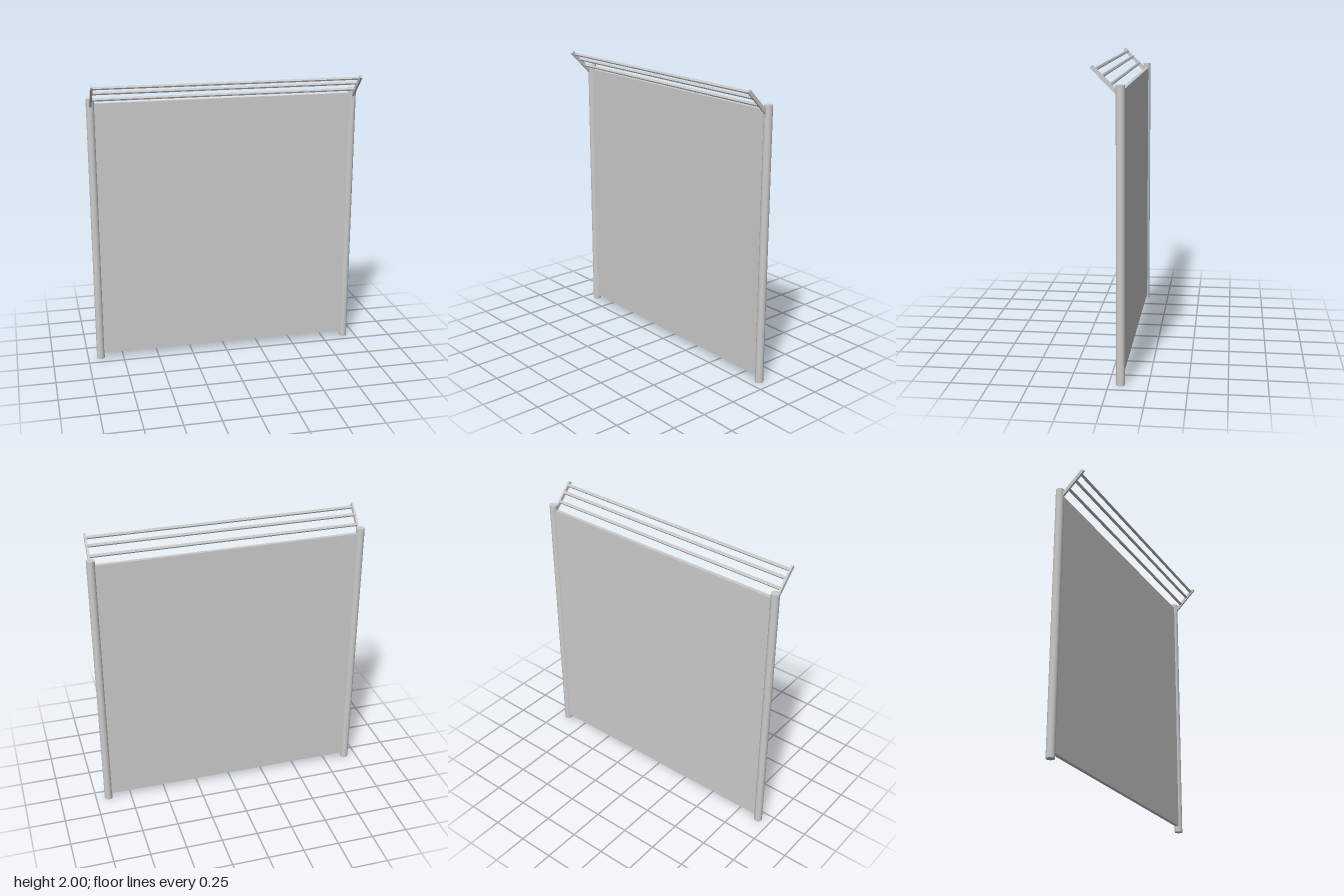
import * as THREE from 'three';

export function createModel() {
  const model = new THREE.Group();
  const smooth = new THREE.MeshStandardMaterial({ color: 0xcccccc });
  const flat = new THREE.MeshStandardMaterial({ color: 0xcccccc, flatShading: true });

  const add = (name, geometry, material, x, y, z) => {
    const mesh = new THREE.Mesh(geometry, material);
    mesh.name = name;
    mesh.position.set(x, y, z);
    model.add(mesh);
    return mesh;
  };

  const postX = 0.912, postZ = -0.075, postHeight = 1.885;

  // Fence panel between the posts
  add('panel', new THREE.BoxGeometry(postX * 2, 1.81, 0.025), flat, 0, 0.945, postZ);

  for (const side of [-1, 1]) {
    const label = side > 0 ? 'left' : 'right';
    // Round post
    add(label + 'Post', new THREE.CylinderGeometry(0.028, 0.028, postHeight, 24),
      smooth, side * postX, postHeight / 2, postZ);
    // Arm leaning forward from the post top
    const arm = add(label + 'Arm', new THREE.BoxGeometry(0.014, 0.222, 0.024),
      flat, side * postX, 1.914, 0.021);
    arm.rotation.x = Math.PI / 4;
  }

  // Thin faceted wires strung between the arms
  [[1.885, -0.014], [1.936, 0.035], [1.976, 0.075]].forEach(([y, z], i) => {
    const wire = add('wire' + (i + 1), new THREE.CylinderGeometry(0.011, 0.011, postX * 2, 6),
      flat, 0, y, z);
    wire.rotation.z = Math.PI / 2;
  });

  return model;
}
